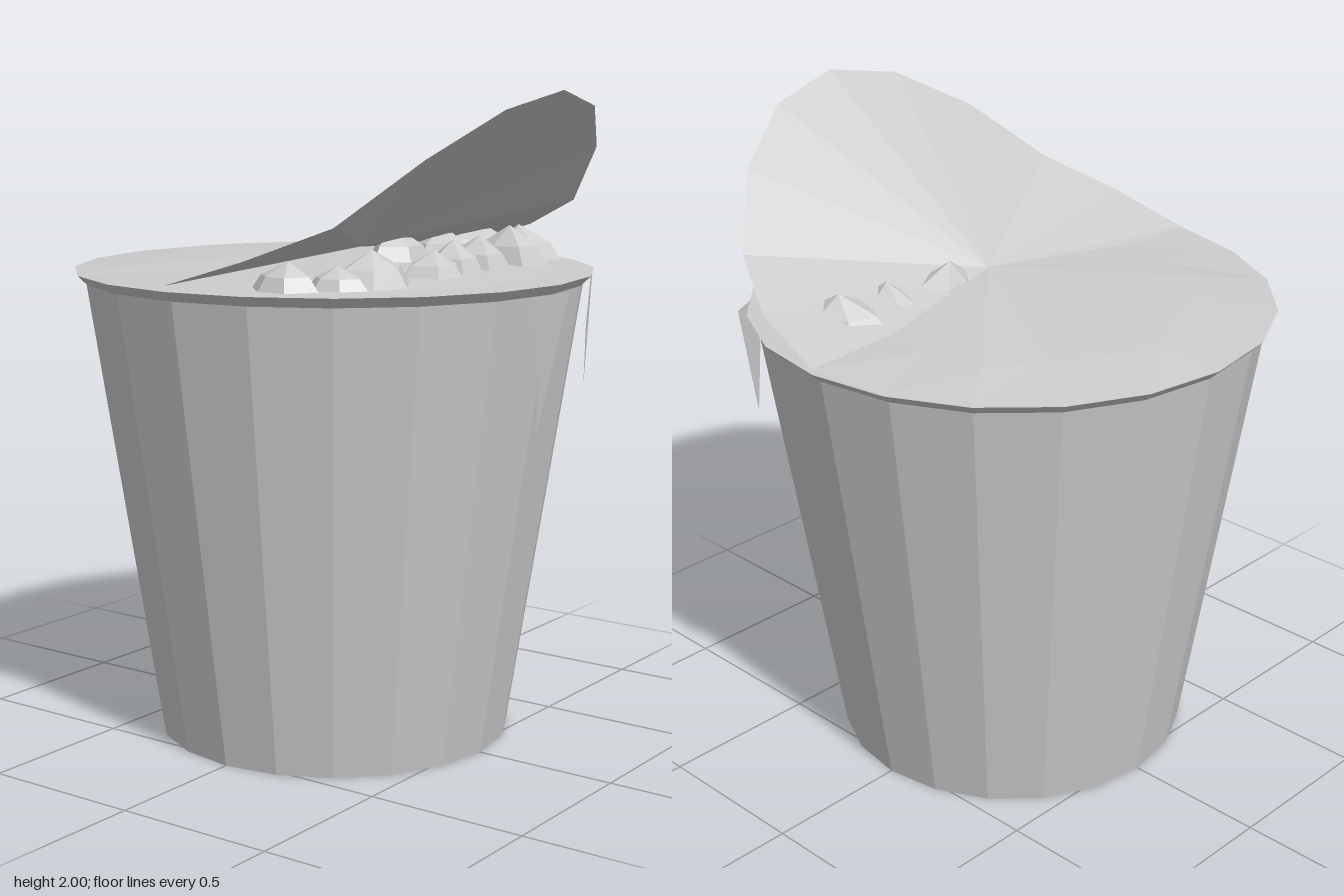
import * as THREE from 'three';

const grey = new THREE.MeshStandardMaterial({ color: 0xcccccc, flatShading: true, side: THREE.DoubleSide });
grey.name = 'plain grey';

function addMesh(parent, name, geometry) {
  const mesh = new THREE.Mesh(geometry, grey);
  mesh.name = name;
  parent.add(mesh);
  return mesh;
}

// Flat-faceted geometry from a list of triangles (three corner points each)
function fromTriangles(points) {
  const g = new THREE.BufferGeometry();
  g.setAttribute('position', new THREE.Float32BufferAttribute(points.flat(), 3));
  g.computeVertexNormals();
  return g;
}

// Foil lid: a crumpled fan whose +x half is peeled upward
function lidGeometry() {
  const centre = [0.1, 1.52, 0];
  const heights = [2, 1.95, 1.82, 1.64, 1.545, 1.467, 1.455, 1.453, 1.453, 1.453, 1.453];
  const creaseRadius = [0.53, 0.5, 0.6, 0.56, 0.53, 0.6, 0.58, 0.55, 0.6, 0.53, 0.5];
  const rim = (i) => {
    const k = Math.min(i % 20, 20 - (i % 20));
    const a = (i * Math.PI) / 10;
    return [0.8 * Math.cos(a), heights[k], 0.8 * Math.sin(a)];
  };
  const crease = (i) => {
    const a = (i * Math.PI) / 10;
    const r = creaseRadius[i - 5];
    return [r * Math.cos(a), 1.478, r * Math.sin(a)];
  };
  const tris = [];
  for (let i = 0; i < 20; i++) {
    if (i >= 5 && i < 15) {
      const [m0, m1, r0, r1] = [crease(i), crease(i + 1), rim(i), rim(i + 1)];
      tris.push(centre, m1, m0, m0, m1, r1, m0, r1, r0);
    } else {
      tris.push(centre, rim(i + 1), rim(i));
    }
  }
  // Close the narrow slivers between the crumpled half and the flap
  tris.push(centre, crease(5), rim(5), centre, rim(15), crease(15));
  return fromTriangles(tris);
}

// Faceted lump: a six-sided mound with a bulging middle ring
function lumpGeometry(seed) {
  const tris = [];
  const peak = [0.12 * Math.sin(seed * 2.1), 1, 0.12 * Math.cos(seed * 1.7)];
  const ring = (i, r, y) => {
    const a = (i * Math.PI) / 3 + seed;
    const s = r * (1 + 0.14 * Math.sin((i % 6) * 2.3 + seed * 3));
    return [s * Math.cos(a), y, s * Math.sin(a)];
  };
  for (let i = 0; i < 6; i++) {
    const [a, b] = [ring(i, 1, 0), ring(i + 1, 1, 0)];
    const [c, d] = [ring(i, 0.72, 0.5), ring(i + 1, 0.72, 0.5)];
    tris.push(peak, d, c, c, d, b, c, b, a);
  }
  return fromTriangles(tris);
}

export function createModel() {
  const model = new THREE.Group();
  model.name = 'peeledCup';

  // Tapered cup with flared rim, closed by the shallow filling
  const profile = [[0, 0], [0.55, 0], [0.77, 1.42], [0.8, 1.45], [0.68, 1.453], [0.55, 1.465], [0, 1.472]];
  addMesh(model, 'cup', new THREE.LatheGeometry(profile.map(([x, y]) => new THREE.Vector2(x, y)), 20));

  addMesh(model, 'peeledLid', lidGeometry());

  // Lumps of filling: x, z, peak height, width in x, width in z
  const lumps = new THREE.Group();
  lumps.name = 'fillingLumps';
  model.add(lumps);
  [
    [0.27, 0.6, 1.535, 0.1, 0.09], [0.38, 0.5, 1.52, 0.09, 0.08],
    [0.42, 0.39, 1.56, 0.11, 0.12], [0.45, 0.13, 1.54, 0.11, 0.1],
    [0.44, 0, 1.56, 0.11, 0.1], [0.42, -0.16, 1.56, 0.12, 0.11],
    [0.42, -0.33, 1.58, 0.12, 0.1], [0.36, -0.52, 1.565, 0.11, 0.1],
    [0.17, -0.53, 1.57, 0.14, 0.12], [0.15, -0.36, 1.56, 0.13, 0.08],
    [0.13, -0.16, 1.575, 0.11, 0.13],
  ].forEach(([x, z, top, rx, rz], i) => {
    const lump = addMesh(lumps, 'lump', lumpGeometry(i + 1));
    lump.position.set(x, 1.455, z);
    lump.scale.set(rx, top - 1.455, rz);
  });

  // Pointed drips hanging on the open side
  addMesh(model, 'longDrip', fromTriangles([
    [0.775, 1.42, 0.11], [0.752, 1.19, 0.035], [0.78, 1.42, -0.09],
    [0.752, 1.25, 0.025], [0.722, 1, -0.01], [0.78, 1.42, -0.09],
  ]));
  addMesh(model, 'sideDrip', fromTriangles([
    [0.62, 1.42, -0.5], [0.615, 1.27, -0.485], [0.57, 1.42, -0.6],
    [0.615, 1.27, -0.485], [0.585, 1.06, -0.53], [0.57, 1.42, -0.6],
  ]));
  return model;
}
